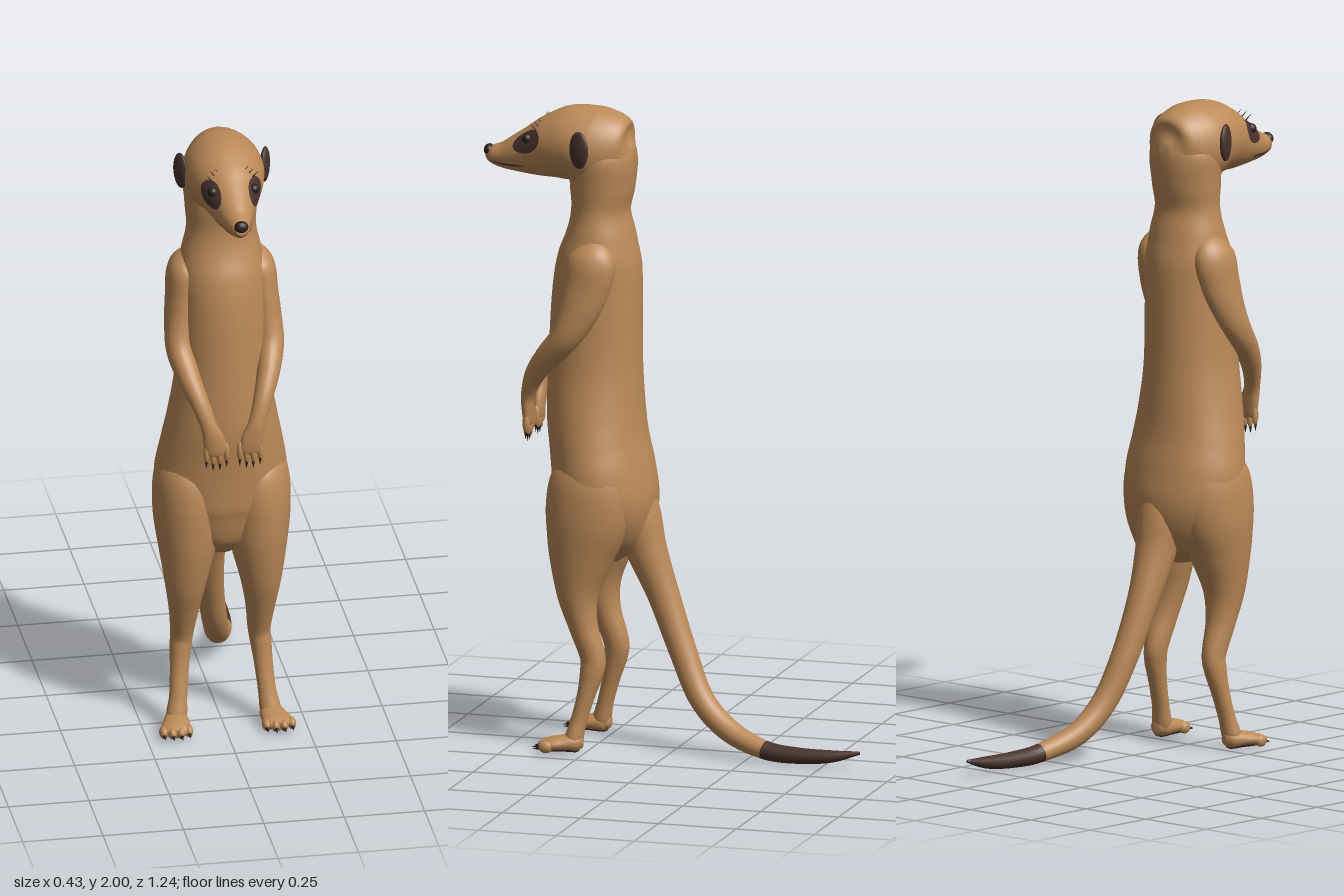
import * as THREE from 'three';

const std = (name, color, side = THREE.FrontSide) => {
  const m = new THREE.MeshStandardMaterial({ color, side });
  m.name = name;
  return m;
};

// Tube-like surface through sections [x, y, z, side radius, depth radius]
function surface(points) {
  const path = new THREE.CatmullRomCurve3(points.map(p => new THREE.Vector3(p[0], p[1], p[2])), false, 'catmullrom', 0.5);
  const radii = new THREE.CatmullRomCurve3(points.map(p => new THREE.Vector3(p[3], p[4], 0)), false, 'catmullrom', 0.5);
  return (u, angle, grow = 0) => {
    const t = path.getTangent(u);
    const s = new THREE.Vector3(1, 0, 0).addScaledVector(t, -t.x).normalize();
    const b = new THREE.Vector3().crossVectors(t, s);
    const r = radii.getPoint(u);
    return path.getPoint(u)
      .addScaledVector(s, (Math.max(r.x, 0.001) + grow) * Math.cos(angle))
      .addScaledVector(b, (Math.max(r.y, 0.001) + grow) * Math.sin(angle));
  };
}

function build(positions, index) {
  const g = new THREE.BufferGeometry();
  g.setAttribute('position', new THREE.Float32BufferAttribute(positions, 3));
  g.setIndex(index);
  g.computeVertexNormals();
  return g;
}

// Closed loft over part of a surface; cut ends stay open
function loft(at, rows = 40, cols = 28, u0 = 0, u1 = 1) {
  const pos = [], idx = [];
  for (let i = 0; i <= rows; i++) {
    for (let j = 0; j < cols; j++) {
      pos.push(...at(u0 + (u1 - u0) * i / rows, j / cols * Math.PI * 2).toArray());
    }
  }
  for (let i = 0; i < rows; i++) {
    for (let j = 0; j < cols; j++) {
      const k = (j + 1) % cols;
      const a = i * cols + j, b = i * cols + k;
      idx.push(a, b, a + cols, b, b + cols, a + cols);
    }
  }
  const last = rows * cols;
  for (let j = 1; j < cols - 1; j++) {
    if (u0 === 0) idx.push(0, j + 1, j);
    if (u1 === 1) idx.push(last, last + j, last + j + 1);
  }
  return build(pos, idx);
}

// Thin oval marking that follows a surface
function patch(at, u, angle, ru, ra, grow = 0.003) {
  const rings = 6, cols = 24, pos = at(u, angle, grow).toArray(), idx = [];
  for (let i = 1; i <= rings; i++) {
    for (let j = 0; j < cols; j++) {
      const w = j / cols * Math.PI * 2, r = i / rings;
      pos.push(...at(u + ru * r * Math.cos(w), angle + ra * r * Math.sin(w), grow).toArray());
    }
  }
  for (let j = 0; j < cols; j++) {
    const k = (j + 1) % cols;
    idx.push(0, 1 + k, 1 + j);
    for (let i = 0; i < rings - 1; i++) {
      const a = 1 + i * cols + j, b = 1 + i * cols + k;
      idx.push(a, b, a + cols, b, b + cols, a + cols);
    }
  }
  return build(pos, idx);
}

export function createModel() {
  const model = new THREE.Group();
  model.name = 'standingMeerkat';
  const fur = std('tan fur', 0xbc8a58);
  const dark = std('dark brown fur', 0x49332d, THREE.DoubleSide);
  const claw = std('blackish brown', 0x2c1f1c);

  const add = (name, geometry, material, x = 0, y = 0, z = 0) => {
    const mesh = new THREE.Mesh(geometry, material);
    mesh.name = name;
    mesh.position.set(x, y, z);
    model.add(mesh);
    return mesh;
  };
  const blob = (name, material, x, y, z, rx, ry, rz) => {
    const mesh = add(name, new THREE.SphereGeometry(1, 18, 12), material, x, y, z);
    mesh.scale.set(rx, ry, rz);
    return mesh;
  };

  // Torso and neck: y, centre z, half width, half depth
  const torso = [
    [0.58, 0.24, 0.04, 0.05], [0.64, 0.235, 0.12, 0.12], [0.75, 0.225, 0.19, 0.155],
    [0.85, 0.235, 0.205, 0.155], [0.95, 0.25, 0.19, 0.15], [1.05, 0.26, 0.17, 0.15],
    [1.2, 0.262, 0.146, 0.145], [1.4, 0.257, 0.138, 0.14], [1.52, 0.25, 0.136, 0.13],
    [1.6, 0.245, 0.124, 0.108], [1.68, 0.245, 0.108, 0.09], [1.76, 0.24, 0.112, 0.1],
    [1.86, 0.235, 0.114, 0.1], [1.93, 0.235, 0.06, 0.06]
  ].map(([y, z, rx, rz]) => [0, y, z, rx, rz]);
  add('torso', loft(surface(torso), 80, 40), fur);

  // Head and muzzle: z, centre y, half width, half height
  const head = surface([
    [0.135, 1.86, 0.02, 0.025], [0.16, 1.858, 0.075, 0.085], [0.2, 1.865, 0.107, 0.118],
    [0.26, 1.87, 0.124, 0.13], [0.32, 1.88, 0.122, 0.12], [0.38, 1.87, 0.107, 0.105],
    [0.44, 1.853, 0.083, 0.085], [0.5, 1.838, 0.06, 0.063], [0.55, 1.828, 0.042, 0.044],
    [0.59, 1.828, 0.029, 0.03], [0.61, 1.832, 0.015, 0.016]
  ].map(([z, y, rx, ry]) => [0, y, z, rx, ry]));
  add('head', loft(head, 60, 40), fur);
  blob('nose', claw, 0, 1.84, 0.603, 0.022, 0.019, 0.017);

  // Tail with dark tip
  const tail = surface([
    [0, 0.86, 0.17, 0.05, 0.06], [0, 0.74, 0.135, 0.075, 0.075], [0, 0.62, 0.1, 0.062, 0.064],
    [0, 0.48, 0.045, 0.048, 0.05], [0.015, 0.31, -0.022, 0.042, 0.043], [0.04, 0.17, -0.09, 0.039, 0.039],
    [0.065, 0.083, -0.185, 0.036, 0.036], [0.1, 0.038, -0.31, 0.031, 0.029],
    [0.113, 0.03, -0.42, 0.029, 0.025], [0.118, 0.036, -0.53, 0.021, 0.019], [0.115, 0.052, -0.62, 0.005, 0.005]
  ]);
  add('tail', loft(tail, 50, 24, 0, 0.7), fur);
  add('tailTip', loft(tail, 24, 24, 0.7, 1), dark);

  for (const s of [1, -1]) {
    const side = s > 0 ? 'left' : 'right';
    const mirror = points => surface(points.map(([x, ...rest]) => [s * x, ...rest]));
    const turn = a => s > 0 ? a : Math.PI - a;

    // Face
    add(side + 'EyePatch', patch(head, 0.625, turn(0.52), 0.085, 0.44), dark);
    blob(side + 'Eye', claw, s * 0.064, 1.898, 0.463, 0.016, 0.016, 0.016);
    add(side + 'MouthLine', patch(head, 0.79, turn(-0.5), 0.12, 0.07, 0.002), dark);
    const ear = blob(side + 'Ear', dark, s * 0.131, 1.888, 0.276, 0.014, 0.058, 0.036);
    ear.rotation.y = -s * 0.4;
    for (let i = 0; i < 3; i++) {
      const hair = add(side + 'BrowHair', new THREE.ConeGeometry(0.003, 0.04, 5), dark,
        s * (0.045 + i * 0.014), 1.95 - i * 0.006, 0.425 + i * 0.008);
      hair.rotation.set(0.5, 0, -s * 0.5);
    }

    // Arm, fingers and claws
    add(side + 'Arm', loft(mirror([
      [0.09, 1.6, 0.24, 0.02, 0.03], [0.112, 1.54, 0.24, 0.052, 0.075], [0.125, 1.45, 0.255, 0.05, 0.073],
      [0.135, 1.37, 0.28, 0.047, 0.06], [0.141, 1.3, 0.317, 0.042, 0.047], [0.125, 1.235, 0.375, 0.036, 0.04],
      [0.1, 1.17, 0.425, 0.03, 0.032], [0.075, 1.1, 0.455, 0.026, 0.022], [0.06, 1.05, 0.46, 0.034, 0.018],
      [0.053, 1.01, 0.46, 0.032, 0.014], [0.052, 0.995, 0.46, 0.015, 0.008]
    ]), 60, 24), fur);
    for (let i = 0; i < 4; i++) {
      const x = s * (0.052 + (i - 1.5) * 0.021), drop = i === 0 || i === 3 ? 0.01 : 0;
      blob(side + 'Finger', fur, x, 0.998 + drop, 0.46, 0.009, 0.032, 0.011);
      add(side + 'FingerClaw', new THREE.ConeGeometry(0.007, 0.034, 8), claw, x, 0.964 + drop, 0.461).rotation.x = Math.PI;
    }

    // Leg
    add(side + 'Leg', loft(mirror([
      [0.09, 0.95, 0.25, 0.05, 0.07], [0.104, 0.86, 0.245, 0.098, 0.125], [0.109, 0.74, 0.253, 0.104, 0.133],
      [0.111, 0.62, 0.273, 0.09, 0.105], [0.117, 0.5, 0.283, 0.066, 0.068], [0.119, 0.4, 0.267, 0.048, 0.046],
      [0.12, 0.3, 0.235, 0.036, 0.04], [0.125, 0.25, 0.236, 0.033, 0.037], [0.131, 0.18, 0.252, 0.029, 0.028],
      [0.138, 0.1, 0.273, 0.028, 0.025], [0.146, 0.04, 0.288, 0.032, 0.028], [0.148, 0.025, 0.295, 0.015, 0.015]
    ]), 60, 28), fur);

    // Foot, dark sole, toes and claws
    const foot = mirror([
      [0.14, 0.03, 0.258, 0.012, 0.015], [0.145, 0.032, 0.278, 0.032, 0.029], [0.152, 0.029, 0.32, 0.042, 0.025],
      [0.16, 0.025, 0.358, 0.047, 0.021], [0.163, 0.022, 0.38, 0.03, 0.014]
    ]);
    add(side + 'Foot', loft(foot, 24, 24), fur);
    add(side + 'Sole', patch(foot, 0.55, -Math.PI / 2, 0.43, 1.0, 0.002), dark);
    for (let i = 0; i < 4; i++) {
      const x = s * (0.16 + (i - 1.5) * 0.026), z = i === 0 || i === 3 ? 0.362 : 0.372;
      blob(side + 'Toe', fur, x, 0.022, z, 0.0135, 0.019, 0.022);
      add(side + 'ToeClaw', new THREE.ConeGeometry(0.008, 0.03, 8), claw, x, 0.017, z + 0.026).rotation.x = Math.PI / 2 + 0.2;
    }
  }
  return model;
}
